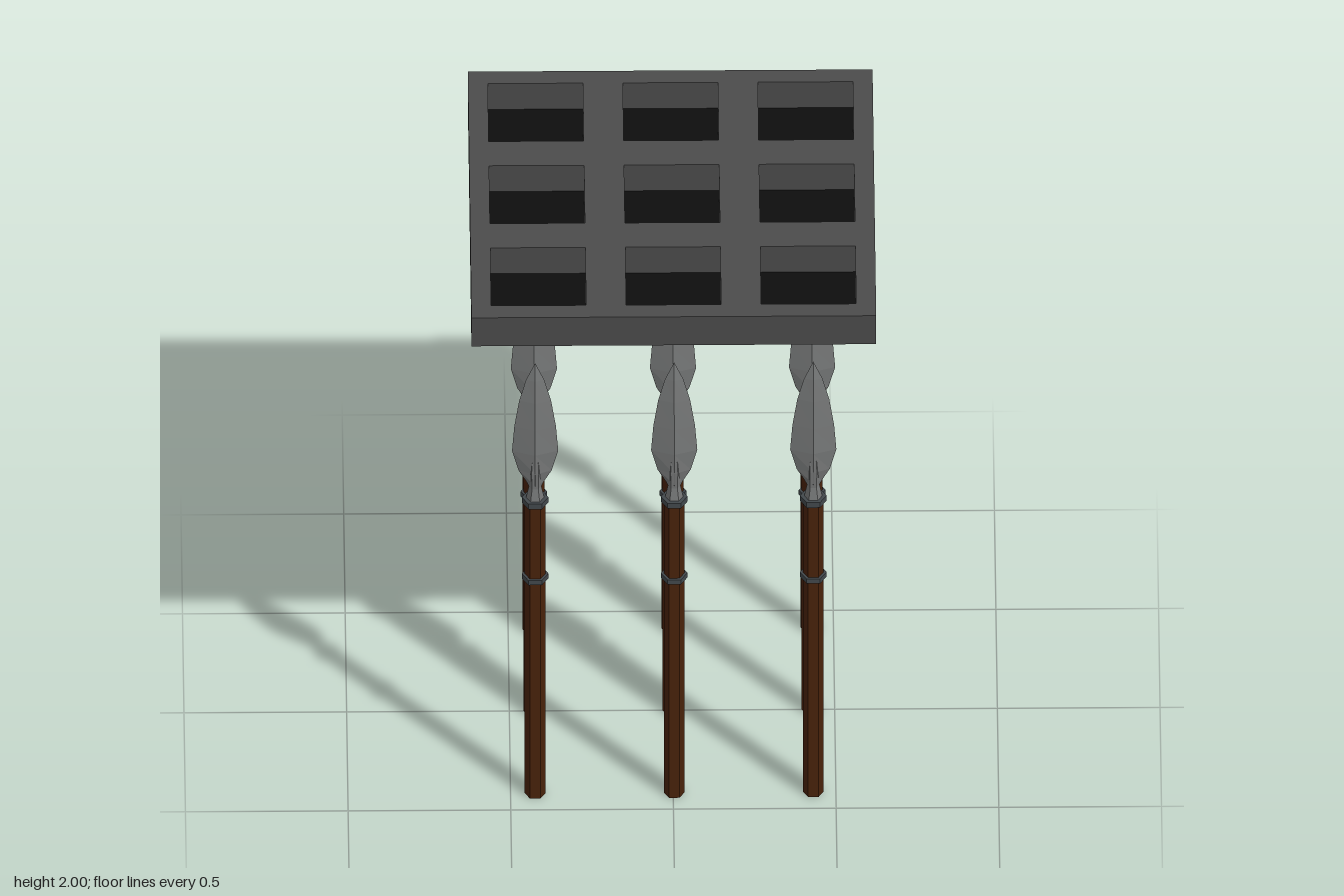
import * as THREE from 'three';

const material = (name, color) => {
  const m = new THREE.MeshStandardMaterial({ color });
  m.name = name;
  return m;
};

// Faceted loft through elliptical sections [y, halfWidth, halfDepth]
function loft(sections, sides) {
  const pos = [];
  const point = ([y, w, d], i) => {
    const a = (i / sides) * Math.PI * 2;
    return [w * Math.cos(a), y, d * Math.sin(a)];
  };
  for (let s = 0; s < sections.length - 1; s++) {
    for (let i = 0; i < sides; i++) {
      const a = point(sections[s], i), b = point(sections[s + 1], i);
      const c = point(sections[s + 1], i + 1), d = point(sections[s], i + 1);
      pos.push(...a, ...b, ...c, ...a, ...c, ...d);
    }
  }
  const g = new THREE.BufferGeometry();
  g.setAttribute('position', new THREE.Float32BufferAttribute(pos, 3));
  g.computeVertexNormals();
  return g;
}

// Closed hexagonal prism with corners on the x axis
function hexPrism(radius, y0, y1) {
  return loft([[y0, 0, 0], [y0, radius, radius], [y1, radius, radius], [y1, 0, 0]], 6);
}

// Square outline with optionally rounded corners
function square(Kind, cx, cy, h, r) {
  const p = new Kind();
  if (r === 0) {
    p.moveTo(cx - h, cy - h).lineTo(cx + h, cy - h);
    p.lineTo(cx + h, cy + h).lineTo(cx - h, cy + h);
  } else {
    p.absarc(cx + h - r, cy + h - r, r, 0, Math.PI / 2);
    p.absarc(cx - h + r, cy + h - r, r, Math.PI / 2, Math.PI);
    p.absarc(cx - h + r, cy - h + r, r, Math.PI, Math.PI * 1.5);
    p.absarc(cx + h - r, cy - h + r, r, Math.PI * 1.5, Math.PI * 2);
  }
  p.closePath();
  return p;
}

export function createModel() {
  const model = new THREE.Group();
  model.name = 'spearTrap';

  const stone = material('dark stone', 0x4b4b4b);
  const black = material('black', 0x0d0d0d);
  const wood = material('brown wood', 0x48220a);
  const iron = material('dark iron', 0x42484c);
  const steel = material('grey steel', 0x767878);

  const add = (parent, name, geometry, mat, x = 0, y = 0, z = 0) => {
    const mesh = new THREE.Mesh(geometry, mat);
    mesh.name = name;
    mesh.position.set(x, y, z);
    parent.add(mesh);
    return mesh;
  };

  const cells = [];
  for (const x of [-0.415, 0, 0.415]) for (const z of [-0.415, 0, 0.415]) cells.push([x, z]);

  // Plate: square wells above, rounded openings on the underside
  const plateLayer = (radius, y0, y1) => {
    const shape = square(THREE.Shape, 0, 0, 0.622, 0);
    for (const [x, z] of cells) shape.holes.push(square(THREE.Path, x, z, 0.146, radius));
    const g = new THREE.ExtrudeGeometry(shape, { depth: y1 - y0, bevelEnabled: false, curveSegments: 4 });
    return g.rotateX(-Math.PI / 2).translate(0, y0, 0);
  };
  const plate = new THREE.Group();
  plate.name = 'plate';
  model.add(plate);
  add(plate, 'plateFrame', plateLayer(0, 1.894, 2), stone);
  add(plate, 'plateUnderside', plateLayer(0.05, 1.89, 1.894), stone);

  // Black floor in every well
  const floor = new THREE.BoxGeometry(0.292, 0.005, 0.292);
  for (const [x, z] of cells) add(plate, 'wellFloor', floor, black, x, 1.8975, z);

  // Spear parts, shared by all nine spears
  const shaft = hexPrism(0.032, 0, 1.135);
  const lowerRing = hexPrism(0.041, 0.832, 0.85);
  const upperRing = hexPrism(0.041, 1.126, 1.146);
  const socket = loft([
    [1.14, 0.029, 0.029], [1.19, 0.019, 0.021], [1.25, 0.022, 0.026],
    [1.29, 0.019, 0.025], [1.34, 0.004, 0.02],
  ], 6);
  const blade = loft([
    [1.17, 0.012, 0.012], [1.205, 0.026, 0.02], [1.25, 0.051, 0.023], [1.325, 0.071, 0.025],
    [1.42, 0.064, 0.022], [1.52, 0.049, 0.017], [1.6, 0.028, 0.01], [1.665, 0, 0],
  ], 4);

  for (const [x, z] of cells) {
    const spear = new THREE.Group();
    spear.name = 'spear';
    spear.position.set(x * 1.03 + 0.003, 0, z);
    model.add(spear);
    add(spear, 'shaft', shaft, wood);
    add(spear, 'lowerRing', lowerRing, iron);
    add(spear, 'upperRing', upperRing, iron);
    add(spear, 'socket', socket, steel);
    add(spear, 'blade', blade, steel);
  }
  return model;
}
